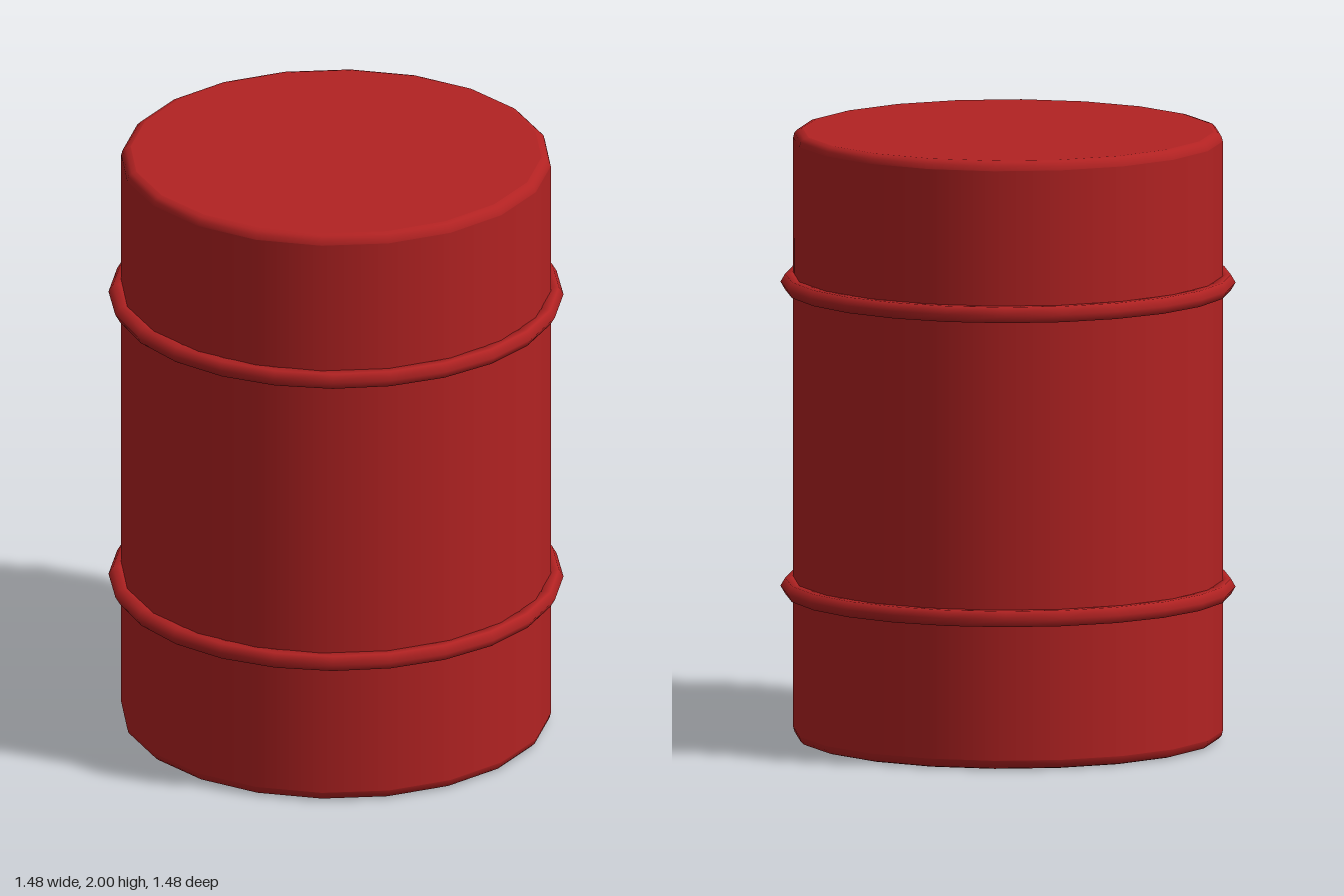
import * as THREE from 'three';

const RADIUS = 0.7, HEIGHT = 2, BEVEL = 0.03, EPS = 0.001;

export function createModel() {
  const drum = new THREE.Group();
  drum.name = 'drum';
  const red = new THREE.MeshStandardMaterial({ color: 0xb22222 });
  red.name = 'red paint';

  // Half profile: flat bottom and rounded lower rim, mirrored for the top.
  // The points EPS beyond the rim keep the wall and the lids evenly shaded.
  const lower = [[0, 0], [RADIUS - BEVEL - EPS, 0]];
  for (let i = 0; i <= 3; i++) {
    const a = (i / 3) * Math.PI / 2;
    lower.push([RADIUS - BEVEL + BEVEL * Math.sin(a), BEVEL - BEVEL * Math.cos(a)]);
  }
  lower.push([RADIUS, BEVEL + EPS]);
  const upper = lower.map(([r, y]) => [r, HEIGHT - y]).reverse();
  const profile = [...lower, ...upper].map(([r, y]) => new THREE.Vector2(r, y));

  const body = new THREE.Mesh(new THREE.LatheGeometry(profile, 20), red);
  body.name = 'body';
  drum.add(body);

  // Two raised hoops around the wall
  const hoopGeometry = new THREE.TorusGeometry(0.71, 0.03, 6, 24).rotateX(Math.PI / 2);
  for (const [name, y] of [['lowerHoop', 0.5], ['upperHoop', 1.5]]) {
    const hoop = new THREE.Mesh(hoopGeometry, red);
    hoop.name = name;
    hoop.position.y = y;
    drum.add(hoop);
  }
  return drum;
}
